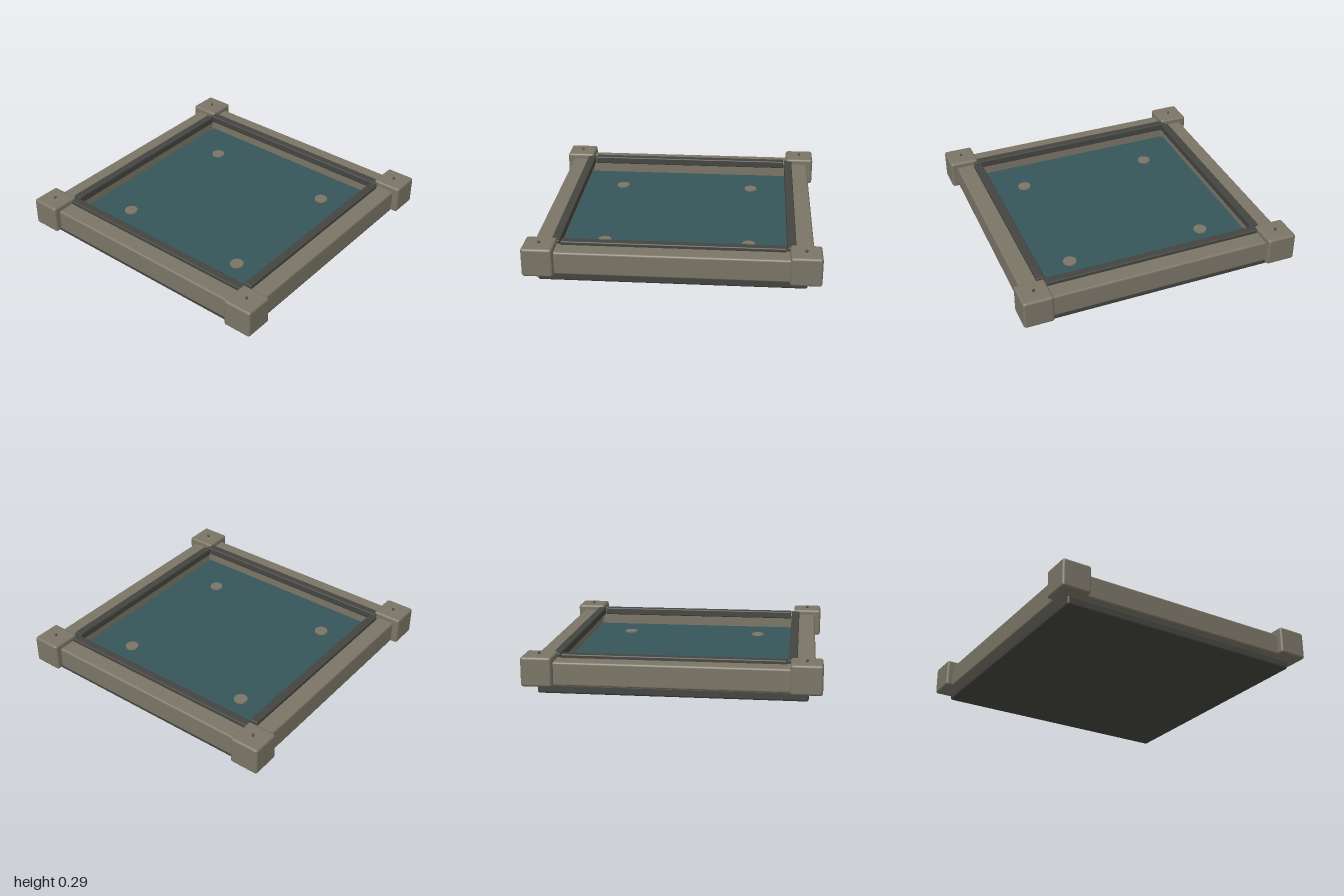
import * as THREE from 'three';
import { RoundedBoxGeometry } from 'three/addons/geometries/RoundedBoxGeometry.js';

const material = (name, color) => {
  const m = new THREE.MeshStandardMaterial({ color });
  m.name = name;
  return m;
};

export function createModel() {
  const group = new THREE.Group();
  group.name = 'squareBasin';
  const stone = material('warm grey stone', 0x7a7566);
  const dark = material('dark grey stone', 0x444440);
  const water = material('teal water', 0x365559);

  const add = (name, geometry, mat, x, y, z) => {
    const mesh = new THREE.Mesh(geometry, mat);
    mesh.name = name;
    mesh.position.set(x, y, z);
    group.add(mesh);
    return mesh;
  };
  // Rounded box spanning heights y0 to y1
  const block = (name, mat, w, d, y0, y1, r, x = 0, z = 0) =>
    add(name, new RoundedBoxGeometry(w, y1 - y0, d, 3, r), mat, x, (y0 + y1) / 2, z);

  // Base slab and water surface
  block('baseSlab', dark, 1.82, 1.82, 0, 0.068, 0.015);
  add('waterSurface', new THREE.BoxGeometry(1.64, 0.06, 1.64), water, 0, 0.09, 0);

  // Rim walls and inner trim on each side
  for (const s of [-1, 1]) {
    block('crossWall', stone, 1.66, 0.15, 0.066, 0.23, 0.015, 0, s * 0.877);
    block('sideWall', stone, 0.15, 1.66, 0.066, 0.23, 0.015, s * 0.877, 0);
    block('crossTrim', dark, 1.62, 0.06, 0.2, 0.255, 0.008, 0, s * 0.8);
    block('sideTrim', dark, 0.06, 1.525, 0.2, 0.255, 0.008, s * 0.8, 0);
  }

  // Corner posts with studs, and round stones in the water
  for (const sx of [-1, 1]) {
    for (const sz of [-1, 1]) {
      block('cornerPost', stone, 0.212, 0.212, 0.066, 0.27, 0.018, sx * 0.894, sz * 0.894);
      add('postStud', new THREE.SphereGeometry(0.01, 10, 8), dark, sx * 0.893, 0.277, sz * 0.893);
      add('waterStone', new THREE.CylinderGeometry(0.048, 0.053, 0.02, 10), stone, sx * 0.505, 0.12, sz * 0.508);
    }
  }
  return group;
}
